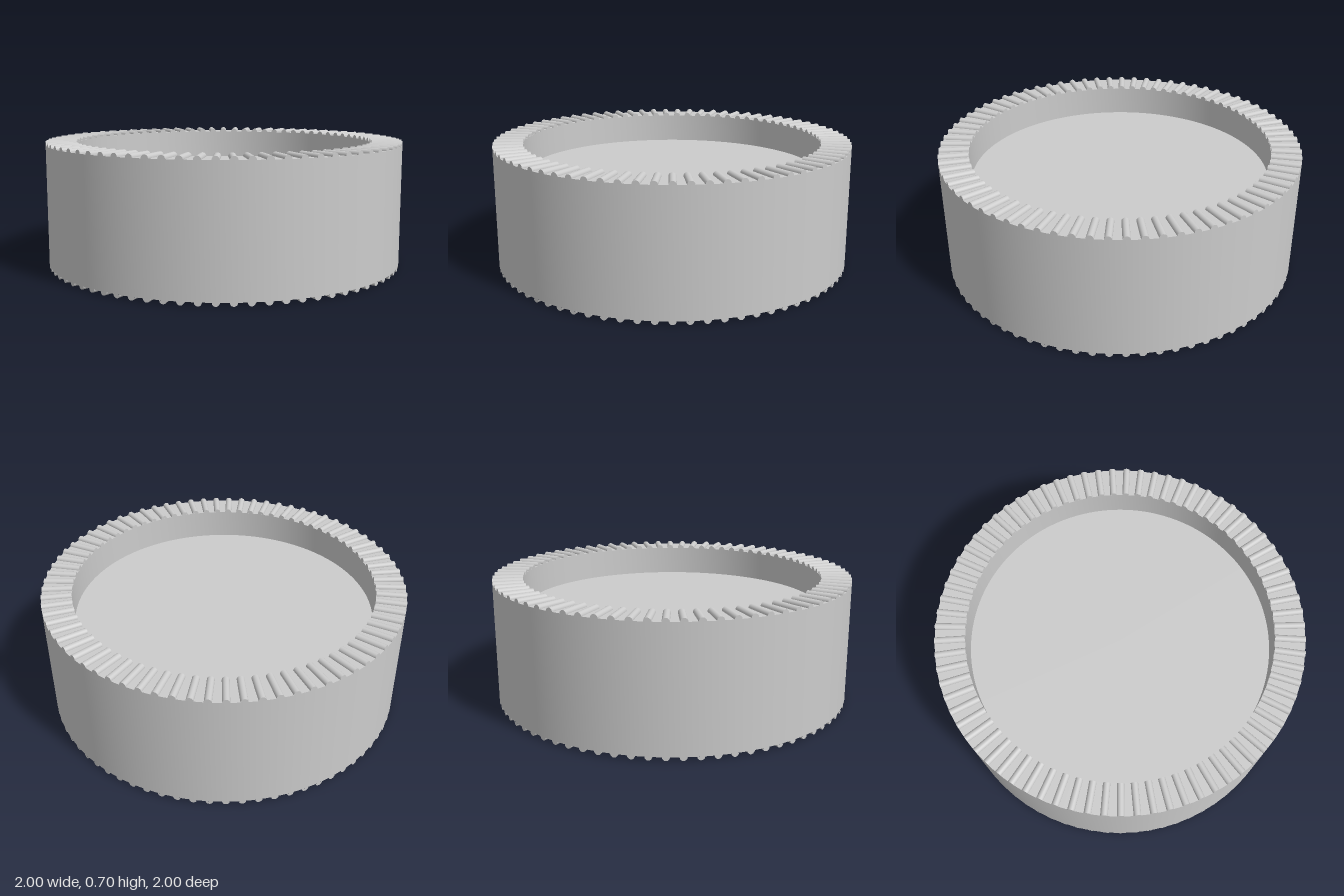
import * as THREE from 'three';
import { mergeGeometries, toCreasedNormals } from 'three/addons/utils/BufferGeometryUtils.js';

const OUTER = 1, INNER = 0.835, HEIGHT = 0.7, RIDGE = 0.019, COUNT = 75;
const FLOOR_TOP = 0.515, FLOOR_BOTTOM = 0.185;

// Ring of half-round radial ridges; up = false hangs them below the rim
function ridgeRing(up) {
  const ridge = new THREE.CylinderGeometry(RIDGE, RIDGE, OUTER - INNER, 10, 1, false, 0, Math.PI);
  ridge.rotateZ(Math.PI / 2);
  if (!up) ridge.rotateX(Math.PI);
  ridge.translate((OUTER + INNER) / 2, up ? HEIGHT - RIDGE : RIDGE, 0);
  const parts = [];
  for (let i = 0; i < COUNT; i++) {
    parts.push(ridge.clone().rotateY(Math.PI / 2 + (i / COUNT) * Math.PI * 2));
  }
  return mergeGeometries(parts);
}

export function createModel() {
  const group = new THREE.Group();
  const material = new THREE.MeshStandardMaterial({ color: 0xcccccc });
  const add = (name, geometry) => {
    const mesh = new THREE.Mesh(geometry, material);
    mesh.name = name;
    group.add(mesh);
  };

  // Round body with a recess above and below the solid middle
  const profile = [
    [0, FLOOR_BOTTOM], [INNER, FLOOR_BOTTOM], [INNER, RIDGE], [OUTER, RIDGE],
    [OUTER, HEIGHT - RIDGE], [INNER, HEIGHT - RIDGE], [INNER, FLOOR_TOP], [0, FLOOR_TOP],
  ].map(([x, y]) => new THREE.Vector2(x, y));
  add('body', toCreasedNormals(new THREE.LatheGeometry(profile, 150), Math.PI / 6));

  // Grip ridges on both rims
  add('topRidges', ridgeRing(true));
  add('bottomRidges', ridgeRing(false));
  return group;
}
